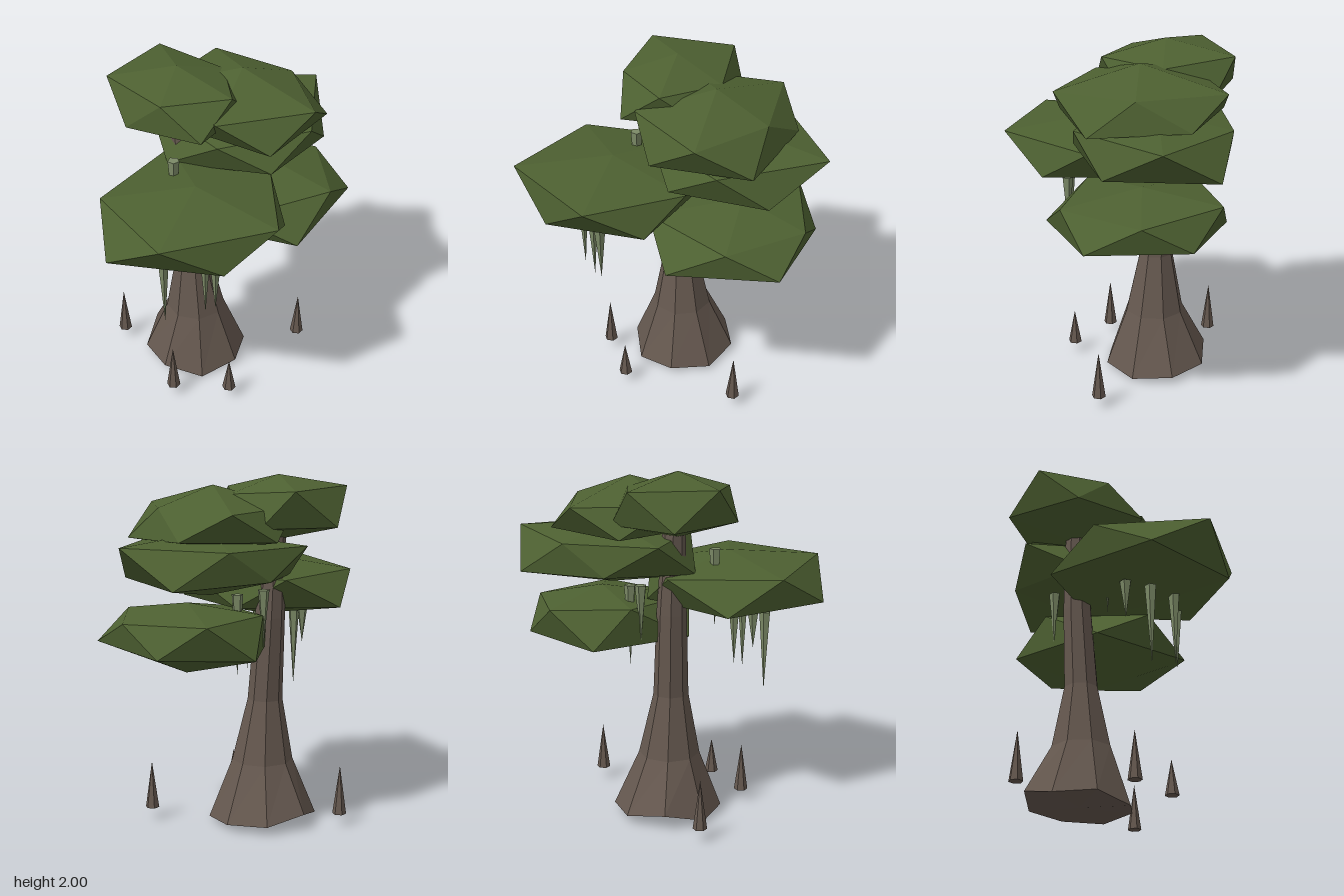
import * as THREE from 'three';
import { ConvexGeometry } from 'three/addons/geometries/ConvexGeometry.js';

const mat = (name, color) => {
  const m = new THREE.MeshStandardMaterial({ color, flatShading: true });
  m.name = name;
  return m;
};

// Trunk rings from the ground up: y, centre x, centre z, radius
const RINGS = [
  [0, -0.18, -0.01, 0.31],
  [0.36, -0.17, 0, 0.175],
  [0.72, -0.18, 0.01, 0.1],
  [1.2, -0.21, 0.015, 0.085],
  [1.72, -0.23, 0.03, 0.062],
];
// Uneven heights of the eight foot corners, starting at +x and turning to +z
const FOOT = [0.03, 0, 0.04, 0.03, 0.09, 0.05, 0.04, 0.02];

function trunkGeometry() {
  const geo = new THREE.CylinderGeometry(1, 1, 1, 8, RINGS.length - 1);
  const p = geo.attributes.position;
  for (let i = 0; i < p.count; i++) {
    const x = p.getX(i), z = p.getZ(i);
    const level = Math.round((p.getY(i) + 0.5) * (RINGS.length - 1));
    const [y, cx, cz, r] = RINGS[level];
    const corner = (Math.round(Math.atan2(z, x) / (Math.PI / 4)) + 8) % 8;
    const foot = level > 0 ? 0 : Math.hypot(x, z) > 0.5 ? FOOT[corner] : 0.03;
    p.setXYZ(i, cx + x * r, y + foot, cz + z * r);
  }
  geo.computeVertexNormals();
  return geo;
}

// Leaf clumps: twelve-cornered solids with two poles and two rings of five
const CLUMPS = {
  topClump: {
    poles: [[-0.24, 2.0, 0.05], [-0.24, 1.64, 0.05]],
    upper: [[0.135, 1.92, 0.05], [-0.13, 1.91, 0.33], [-0.54, 1.94, 0.28], [-0.56, 1.93, -0.2], [-0.13, 1.9, -0.23]],
    lower: [[0.1, 1.74, 0.28], [-0.33, 1.74, 0.38], [-0.65, 1.73, 0.05], [-0.4, 1.73, -0.3], [0.06, 1.73, -0.2]],
  },
  upperBackClump: {
    poles: [[0, 1.945, -0.23], [0, 1.59, -0.23]],
    upper: [[0.48, 1.83, -0.23], [0.13, 1.82, 0.19], [-0.38, 1.83, 0.02], [-0.4, 1.82, -0.52], [0.12, 1.83, -0.54]],
    lower: [[0.38, 1.65, 0.04], [-0.14, 1.66, 0.1], [-0.48, 1.66, -0.25], [-0.15, 1.67, -0.66], [0.38, 1.65, -0.52]],
  },
  middleBackClump: {
    poles: [[-0.07, 1.7, -0.33], [-0.07, 1.35, -0.33]],
    upper: [[0.4, 1.635, -0.33], [0.08, 1.62, 0.11], [-0.52, 1.63, -0.04], [-0.42, 1.63, -0.56], [0.08, 1.645, -0.87]],
    lower: [[0.33, 1.47, -0.05], [-0.24, 1.43, 0.15], [-0.5, 1.46, -0.33], [-0.26, 1.44, -0.82], [0.32, 1.44, -0.6]],
  },
  frontClump: {
    poles: [[0.1, 1.505, 0.33], [0.1, 1.145, 0.33]],
    upper: [[0.64, 1.45, 0.33], [0.27, 1.45, 0.855], [-0.32, 1.42, 0.63], [-0.34, 1.42, 0], [0.27, 1.42, -0.13]],
    lower: [[0.49, 1.25, 0.6], [-0.08, 1.24, 0.87], [-0.47, 1.24, 0.33], [-0.08, 1.25, -0.13], [0.49, 1.25, 0.04]],
  },
  lowerBackClump: {
    poles: [[0.04, 1.305, -0.4], [0.04, 0.91, -0.41]],
    upper: [[0.5, 1.23, -0.41], [0.2, 1.21, 0.1], [-0.34, 1.25, -0.2], [-0.34, 1.24, -0.65], [0.16, 1.22, -0.78]],
    lower: [[0.5, 1.04, -0.08], [-0.12, 1.04, 0.11], [-0.46, 1.04, -0.4], [-0.12, 1.06, -0.8], [0.45, 1.08, -0.7]],
  },
};

// Root spikes: x, z, tip height
const SPIKES = [[-0.59, 0.19, 0.355], [-0.015, 0.42, 0.35], [0.265, 0.24, 0.275], [0.302, -0.435, 0.345]];

// Hanging moss: x, z, top, tip
const MOSS = [
  [0.04, 0.545, 1.15, 0.68], [0.23, 0.42, 1.2, 0.76], [0.262, 0.37, 1.11, 0.77], [-0.08, 0.475, 1.19, 0.97],
  [-0.108, 0.255, 1.55, 1.1], [-0.3, -0.15, 1.38, 1.06], [-0.17, -0.22, 1.35, 0.89],
];

export function createModel() {
  const bark = mat('bark', 0x65584f);
  const leaf = mat('leaf', 0x4d6031);
  const moss = mat('moss', 0x7c8a67);
  const tree = new THREE.Group();
  tree.name = 'tree';

  const add = (name, geo, material) => {
    const mesh = new THREE.Mesh(geo, material);
    mesh.name = name;
    tree.add(mesh);
    return mesh;
  };

  add('trunk', trunkGeometry(), bark);

  for (const [name, { poles, upper, lower }] of Object.entries(CLUMPS)) {
    const points = [...poles, ...upper, ...lower].map((c) => new THREE.Vector3(...c));
    add(name, new ConvexGeometry(points), leaf);
  }

  for (const [x, z, tip] of SPIKES) {
    const h = tip - 0.07;
    add('rootSpike', new THREE.ConeGeometry(0.04, h, 6), bark).position.set(x, 0.07 + h / 2, z);
  }

  for (const [x, z, top, tip] of MOSS) {
    const strand = add('mossStrand', new THREE.ConeGeometry(0.034, top - tip, 5), moss);
    strand.rotation.x = Math.PI;
    strand.position.set(x, (top + tip) / 2, z);
  }
  return tree;
}
